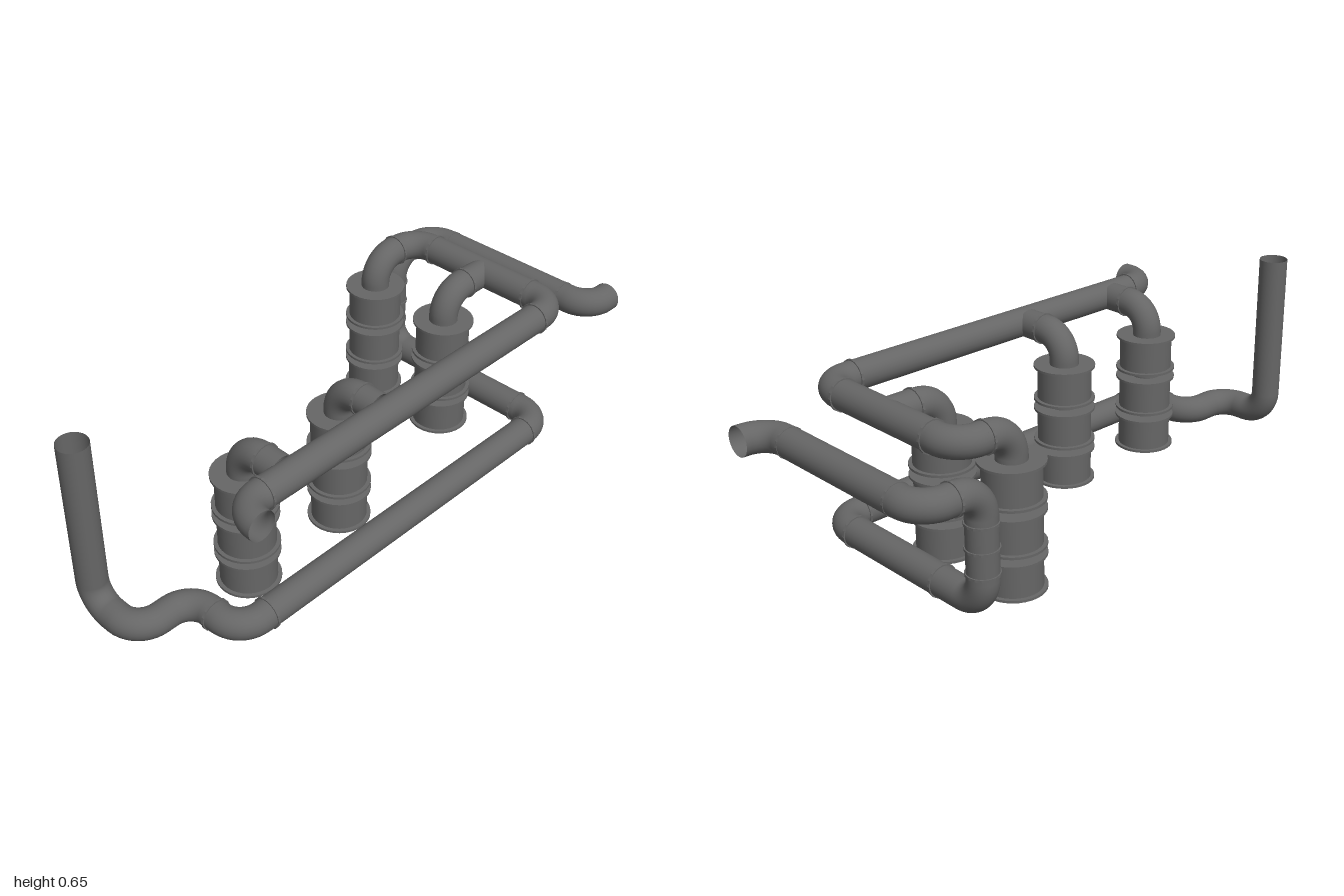
import * as THREE from 'three';
import { mergeGeometries } from 'three/addons/utils/BufferGeometryUtils.js';

const R = 0.049, BEND = 0.085;
const LOW = 0.055, MID = 0.425, HIGH = 0.52, SIDE = 0.327;
const material = new THREE.MeshStandardMaterial({ color: 0x666666, side: THREE.DoubleSide });

function add(parent, geometry, name) {
  const mesh = new THREE.Mesh(geometry, material);
  mesh.name = name;
  parent.add(mesh);
  return mesh;
}

// Open pipe through corner points, with a round bend at each inner corner
function pipe(parent, name, corners) {
  const pts = corners.map(c => new THREE.Vector3(...c));
  const parts = [];
  let from = pts[0];
  const straight = (a, b) => {
    if (a.distanceTo(b) > 0.001) parts.push(new THREE.TubeGeometry(new THREE.LineCurve3(a, b), 1, R, 24));
  };
  for (let i = 1; i < pts.length - 1; i++) {
    const p = pts[i];
    const toward = (q, d) => p.clone().add(q.clone().sub(p).setLength(d));
    const a = toward(pts[i - 1], BEND), b = toward(pts[i + 1], BEND);
    straight(from, a);
    const arc = new THREE.CubicBezierCurve3(a, toward(pts[i - 1], BEND * 0.448), toward(pts[i + 1], BEND * 0.448), b);
    parts.push(new THREE.TubeGeometry(arc, 10, R, 24));
    from = b;
  }
  straight(from, pts[pts.length - 1]);
  add(parent, mergeGeometries(parts), name);
}

// Thin faceted joint ring around a pipe running along the given axis
function collar(parent, x, y, z, axis, radius = 0.0535) {
  const shape = [[R, -0.004], [radius, -0.004], [radius, 0.004], [R, 0.004]].map(p => new THREE.Vector2(...p));
  const geometry = new THREE.LatheGeometry(shape, 16).toNonIndexed();
  geometry.computeVertexNormals();
  const mesh = add(parent, geometry, 'pipeCollar');
  mesh.position.set(x, y, z);
  if (axis === 'x') mesh.rotation.z = Math.PI / 2;
  if (axis === 'z') mesh.rotation.x = Math.PI / 2;
}

// Three flanged canisters, one above the other
function canisterStack(parent, x, z) {
  const stack = new THREE.Group();
  stack.name = 'canisterStack';
  stack.position.set(x, 0, z);
  const cylinder = (r, y0, y1, name) => {
    add(stack, new THREE.CylinderGeometry(r, r, y1 - y0, 32), name).position.y = (y0 + y1) / 2;
  };
  for (const [bottom, top] of [[0.006, 0.125], [0.149, 0.271], [0.298, 0.422]]) {
    cylinder(0.0905, bottom + 0.004, top - 0.004, 'canister');
    cylinder(0.103, bottom, bottom + 0.008, 'lowerFlange');
    cylinder(0.103, top - 0.008, top, 'upperFlange');
  }
  parent.add(stack);
}

export function createModel() {
  const model = new THREE.Group();
  model.name = 'pipework';

  // Lower run, from the front riser round to the rear outlet
  pipe(model, 'lowerPipe', [
    [-0.084, 0.652, 0.951], [-0.084, LOW, 0.951], [0.115, LOW, 0.951], [0.115, LOW, 0.742],
    [SIDE, LOW, 0.742], [SIDE, LOW, -0.687], [-0.377, LOW, -0.687], [-0.377, MID, -0.687],
    [-0.377, MID, -0.895], [0.338, MID, -0.895], [0.338, MID, -1]
  ]);

  // Upper run, ending down through the rear right stack
  pipe(model, 'upperPipe', [
    [0.426, HIGH, 0.725], [SIDE, HIGH, 0.725], [SIDE, HIGH, -0.7],
    [-0.295, HIGH, -0.7], [-0.295, HIGH, -0.5], [-0.295, 0, -0.5]
  ]);

  // Branches running down through the other stacks
  pipe(model, 'rearBranch', [[0.02, HIGH, -0.69], [0.02, HIGH, -0.5], [0.02, 0, -0.5]]);
  for (const z of [0.12, 0.525]) {
    pipe(model, 'sideBranch', [[0.298, HIGH, z], [0.128, HIGH, z], [0.128, 0, z]]);
    collar(model, 0.225, HIGH, z, 'x');
  }

  for (const [x, z] of [[-0.295, -0.5], [0.02, -0.5], [0.128, 0.12], [0.132, 0.525]]) canisterStack(model, x, z);

  // Joint rings
  for (const z of [-0.59, 0.63]) {
    collar(model, SIDE, LOW, z, 'z');
    collar(model, SIDE, HIGH, z, 'z');
  }
  for (const x of [-0.193, 0.222]) {
    collar(model, x, LOW, -0.687, 'x');
    collar(model, x, HIGH, -0.7, 'x');
  }
  collar(model, 0.222, LOW, 0.742, 'x');
  for (const x of [-0.275, 0.225]) collar(model, x, MID, -0.895, 'x', 0.051);
  for (const y of [0.16, 0.24, 0.32]) collar(model, -0.377, y, -0.687, 'y');
  collar(model, -0.377, MID, -0.79, 'z');
  for (const x of [-0.295, 0.02]) collar(model, x, HIGH, -0.6, 'z');

  return model;
}
